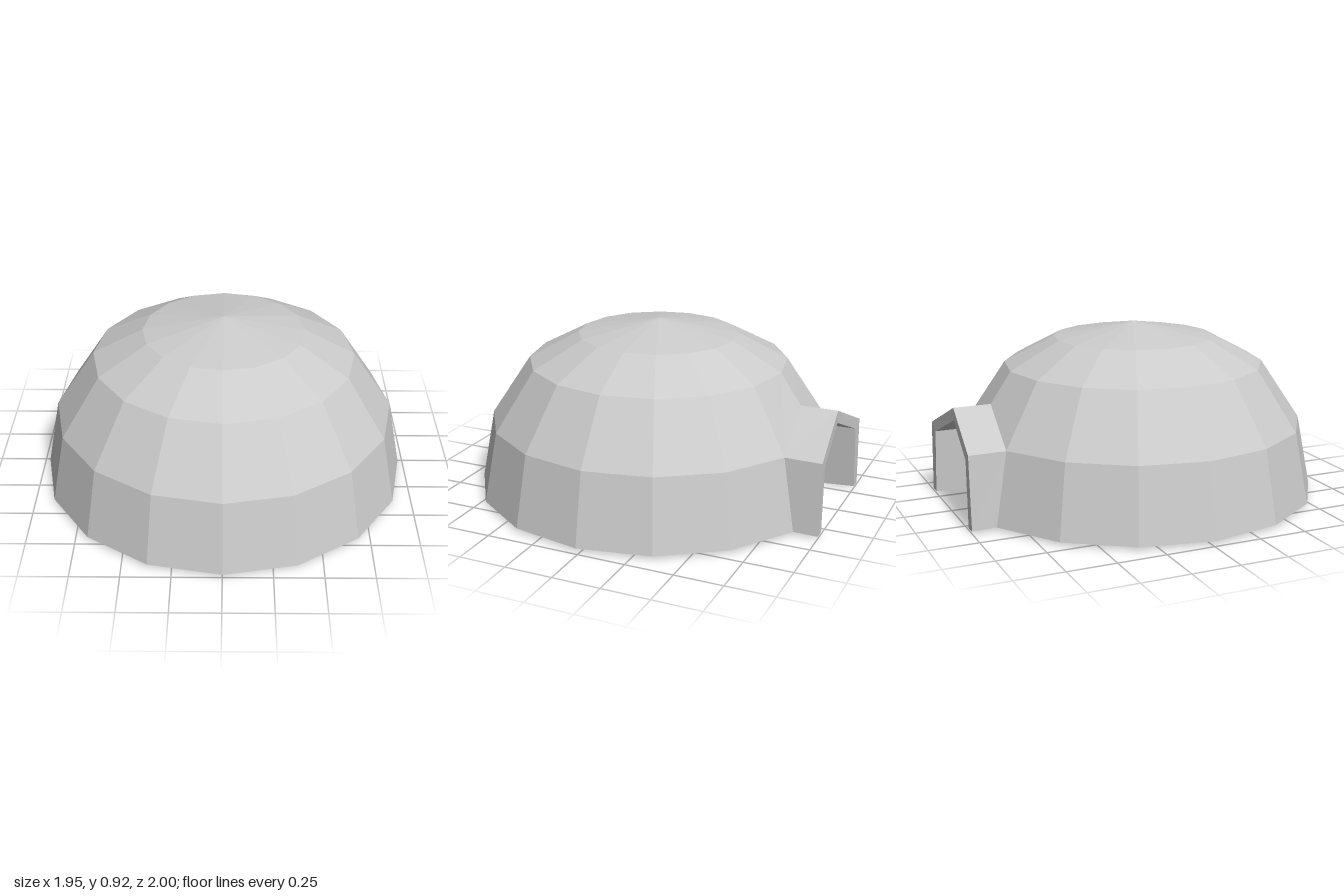
import * as THREE from 'three';

const SIDES = 16, BACK = 8, CZ = 0.025;
// [radius, height] rings of the shell, from base to apex
const OUTER = [[0.973, 0.015], [0.9, 0.39], [0.69, 0.705], [0.425, 0.845], [0, 0.922]];
const INNER = [[0.91, 0], [0.842, 0.36], [0.645, 0.655], [0.4, 0.783], [0, 0.86]];

function ringPoint(profile, j, i) {
  const a = (i / SIDES) * Math.PI * 2, [r, y] = profile[j];
  return [r * Math.sin(a), y, CZ + r * Math.cos(a)];
}

// Doorway half outline (foot, shoulder, peak) mirrored into a full arch
function arch(foot, shoulder, peak) {
  const flip = ([x, y, z]) => [-x, y, z];
  return [foot, shoulder, peak, flip(shoulder), flip(foot)];
}

const doorOuter = arch(ringPoint(OUTER, 0, 7), ringPoint(OUTER, 1, 7), [0, 0.545, -0.775]);
const doorInner = arch([0.31, 0, -0.83], [0.287, 0.352, -0.765], [0, 0.479, -0.738]);
const mouthOuter = arch([0.372, 0.012, -1], [0.348, 0.39, -1], [0, 0.545, -0.972]);
const mouthInner = arch([0.312, 0.01, -1], [0.289, 0.352, -0.997], [0, 0.479, -0.972]);

// Shell vertex, snapped to the doorway outline where the dome is cut open
function shellPoint(profile, j, i) {
  const door = profile === OUTER ? doorOuter : doorInner;
  if (j === 0 && i === BACK - 1) return door[0];
  if (j === 0 && i === BACK + 1) return door[4];
  if (j === 1 && Math.abs(i - BACK) <= 1) return door[i - BACK + 2];
  return ringPoint(profile, j, i % SIDES);
}

function facetedMesh(name, quads) {
  const positions = [];
  for (const [a, b, c, d] of quads) positions.push(...a, ...b, ...c, ...(d ? [...a, ...c, ...d] : []));
  const geometry = new THREE.BufferGeometry();
  geometry.setAttribute('position', new THREE.Float32BufferAttribute(positions, 3));
  geometry.computeVertexNormals();
  const mesh = new THREE.Mesh(geometry, new THREE.MeshStandardMaterial({ color: 0xcccccc, flatShading: true }));
  mesh.name = name;
  return mesh;
}

function domeShell() {
  const quads = [];
  const last = OUTER.length - 2;
  for (let i = 0; i < SIDES; i++) {
    const isDoor = i === BACK - 1 || i === BACK;
    for (let j = isDoor ? 1 : 0; j <= last; j++) {
      for (const profile of [OUTER, INNER]) {
        const face = [shellPoint(profile, j, i), shellPoint(profile, j, i + 1), shellPoint(profile, j + 1, i + 1)];
        if (j < last) face.push(shellPoint(profile, j + 1, i));
        quads.push(profile === OUTER ? face : face.reverse());
      }
    }
    // Underside of the wall
    if (!isDoor) {
      quads.push([shellPoint(OUTER, 0, i), shellPoint(INNER, 0, i),
        shellPoint(INNER, 0, i + 1), shellPoint(OUTER, 0, i + 1)]);
    }
  }
  return facetedMesh('domeShell', quads);
}

function entrancePorch() {
  const quads = [];
  for (let k = 0; k < 4; k++) {
    quads.push([doorOuter[k], mouthOuter[k], mouthOuter[k + 1], doorOuter[k + 1]]); // outside
    quads.push([doorInner[k + 1], mouthInner[k + 1], mouthInner[k], doorInner[k]]); // inside
    quads.push([mouthOuter[k], mouthInner[k], mouthInner[k + 1], mouthOuter[k + 1]]); // end rim
  }
  // Feet
  quads.push([doorOuter[0], doorInner[0], mouthInner[0], mouthOuter[0]]);
  quads.push([doorOuter[4], mouthOuter[4], mouthInner[4], doorInner[4]]);
  return facetedMesh('entrancePorch', quads);
}

export function createModel() {
  const group = new THREE.Group();
  group.name = 'igloo';
  group.add(domeShell(), entrancePorch());
  return group;
}
